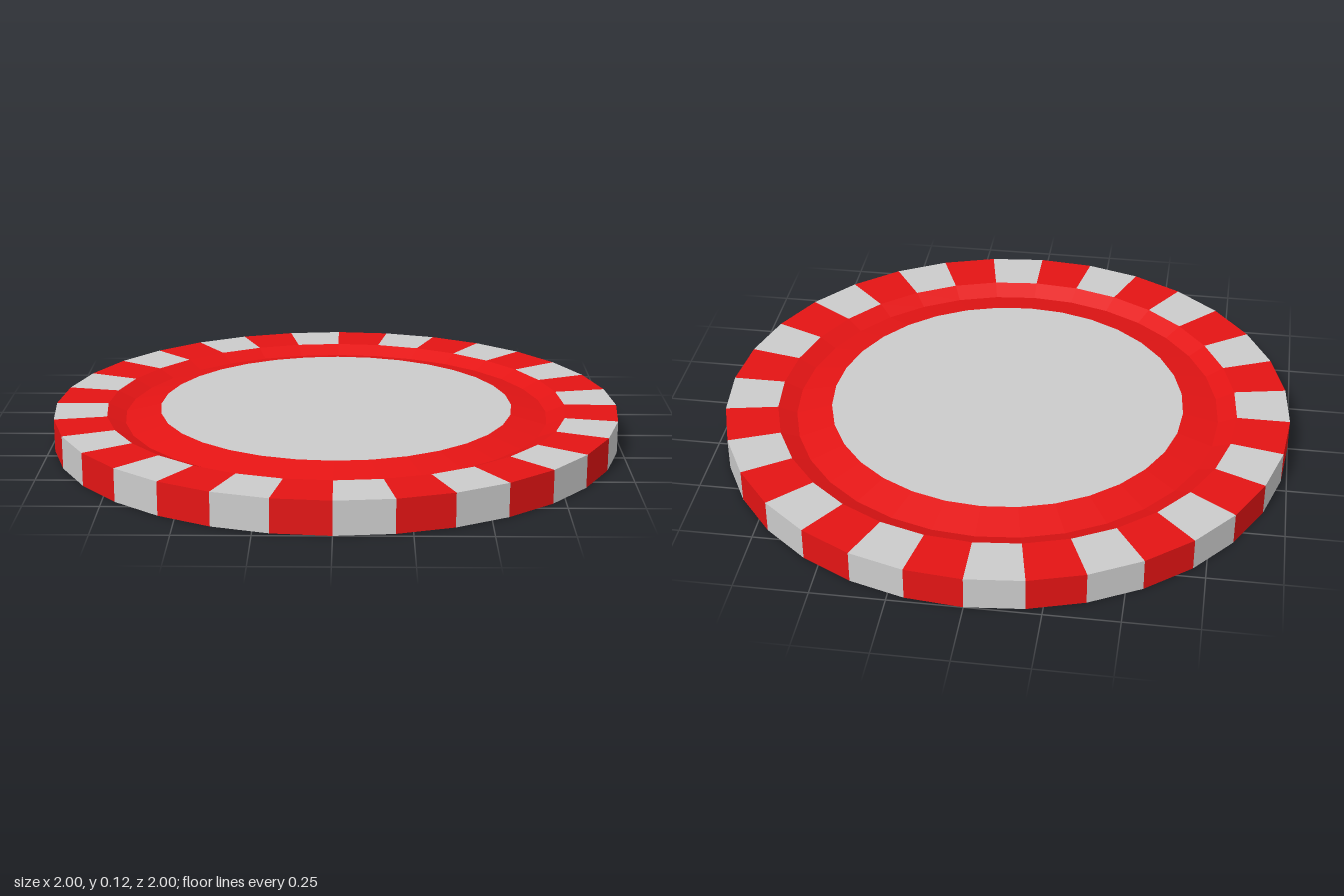
import * as THREE from 'three';
import { mergeGeometries } from 'three/addons/utils/BufferGeometryUtils.js';

const SIDES = 32;
const HEIGHT = 0.115;
const GROOVE_DEPTH = 0.028;
const RIM = 1, RIM_INNER = 0.815, GROOVE = 0.75, FACE = 0.625;

const grey = new THREE.MeshStandardMaterial({ color: 0xcccccc, flatShading: true });
const red = new THREE.MeshStandardMaterial({ color: 0xe41414, flatShading: true });

// Revolve [radius, height] pairs, listed bottom to top along the outside
function revolve(profile, segments = SIDES, start = 0, length = Math.PI * 2) {
  const points = profile.map(([r, y]) => new THREE.Vector2(r, y));
  return new THREE.LatheGeometry(points, segments, start, length);
}

// Every second wedge of the rim, starting at wedge `first`
function rimBlocks(first) {
  const step = (Math.PI * 2) / SIDES;
  const profile = [[RIM_INNER, 0], [RIM, 0], [RIM, HEIGHT], [RIM_INNER, HEIGHT]];
  const wedges = [];
  for (let i = first; i < SIDES; i += 2) wedges.push(revolve(profile, 1, i * step, step));
  return mergeGeometries(wedges);
}

export function createModel() {
  const model = new THREE.Group();
  model.name = 'chip';
  const add = (name, geometry, material) => {
    const mesh = new THREE.Mesh(geometry, material);
    mesh.name = name;
    model.add(mesh);
  };

  // Striped rim
  add('rimGreyBlocks', rimBlocks(0), grey);
  add('rimRedBlocks', rimBlocks(1), red);

  // V-shaped groove ring and flat centre disc on both faces
  add('topGroove', revolve([[RIM_INNER, HEIGHT], [GROOVE, HEIGHT - GROOVE_DEPTH], [FACE, HEIGHT]]), red);
  add('bottomGroove', revolve([[FACE, 0], [GROOVE, GROOVE_DEPTH], [RIM_INNER, 0]]), red);
  add('topDisc', revolve([[FACE, HEIGHT], [0, HEIGHT]]), grey);
  add('bottomDisc', revolve([[0, 0], [FACE, 0]]), grey);

  return model;
}
